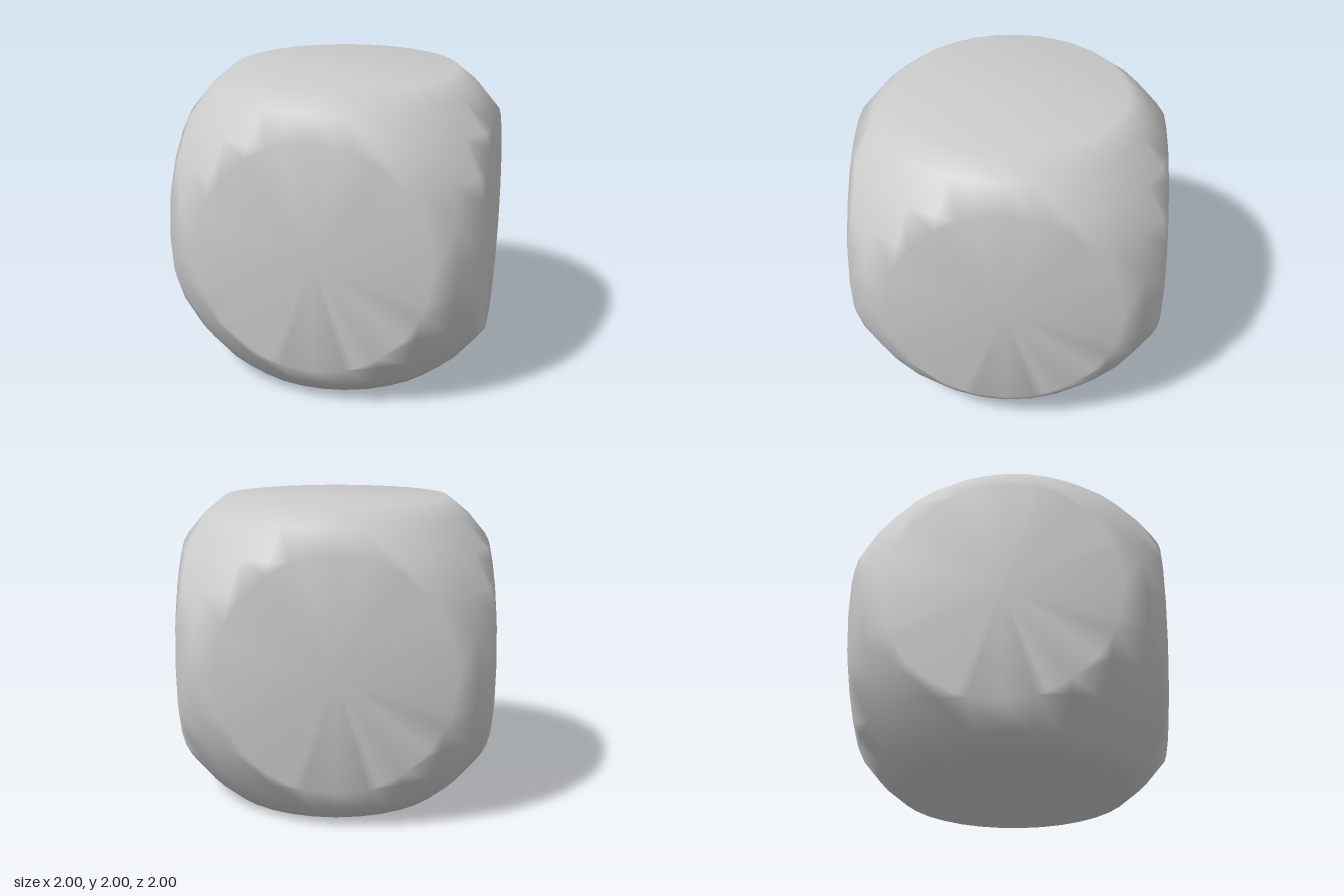
import * as THREE from 'three';
import { mergeVertices } from 'three/addons/utils/BufferGeometryUtils.js';

const RADIUS = 1.25; // rounding sphere
const HALF = 1; // half the width of the cube
const SEGMENTS = 32;
const RINGS = 16;

function spherePoint(i, j) {
  return new THREE.Vector3().setFromSphericalCoords(
    RADIUS, (Math.PI * j) / RINGS, (2 * Math.PI * i) / SEGMENTS);
}

// Keep the part of a polygon on the inner side of one cube face
function clip(polygon, axis, sign) {
  const result = [];
  polygon.forEach((a, k) => {
    const b = polygon[(k + 1) % polygon.length];
    const da = HALF - sign * a[axis];
    const db = HALF - sign * b[axis];
    if (da >= 0) result.push(a);
    if (da * db < 0) {
      const p = a.clone().lerp(b, da / (da - db));
      p[axis] = sign * HALF;
      result.push(p);
    }
  });
  return result;
}

export function createModel() {
  const positions = [];
  const triangle = (a, b, c) => positions.push(...a, ...b, ...c);
  const faces = ['x', 'y', 'z'].flatMap((axis) => [[axis, 1], [axis, -1]]);

  for (let j = 0; j < RINGS; j++) {
    for (let i = 0; i < SEGMENTS; i++) {
      // Rounded corners: sphere facets trimmed to the cube
      let polygon = [
        spherePoint(i, j), spherePoint(i, j + 1),
        spherePoint(i + 1, j + 1), spherePoint(i + 1, j),
      ];
      for (const [axis, sign] of faces) polygon = clip(polygon, axis, sign);
      for (let k = 1; k < polygon.length - 1; k++) {
        triangle(polygon[0], polygon[k], polygon[k + 1]);
      }
      // Flat round faces: join every trimmed edge to the face centre
      for (const [axis, sign] of faces) {
        const centre = new THREE.Vector3();
        centre[axis] = sign * HALF;
        const onFace = (p) => Math.abs(p[axis] - sign * HALF) < 1e-6;
        polygon.forEach((a, k) => {
          const b = polygon[(k + 1) % polygon.length];
          if (onFace(a) && onFace(b)) triangle(b, a, centre);
        });
      }
    }
  }

  // Shared vertices give the soft shading across the rims
  let geometry = new THREE.BufferGeometry();
  geometry.setAttribute('position', new THREE.Float32BufferAttribute(positions, 3));
  geometry = mergeVertices(geometry, 1e-4);
  geometry.computeVertexNormals();

  const body = new THREE.Mesh(geometry, new THREE.MeshStandardMaterial({ color: 0xcccccc }));
  body.name = 'roundedCube';
  body.position.y = HALF;

  const group = new THREE.Group();
  group.name = 'dieBlank';
  group.add(body);
  return group;
}
